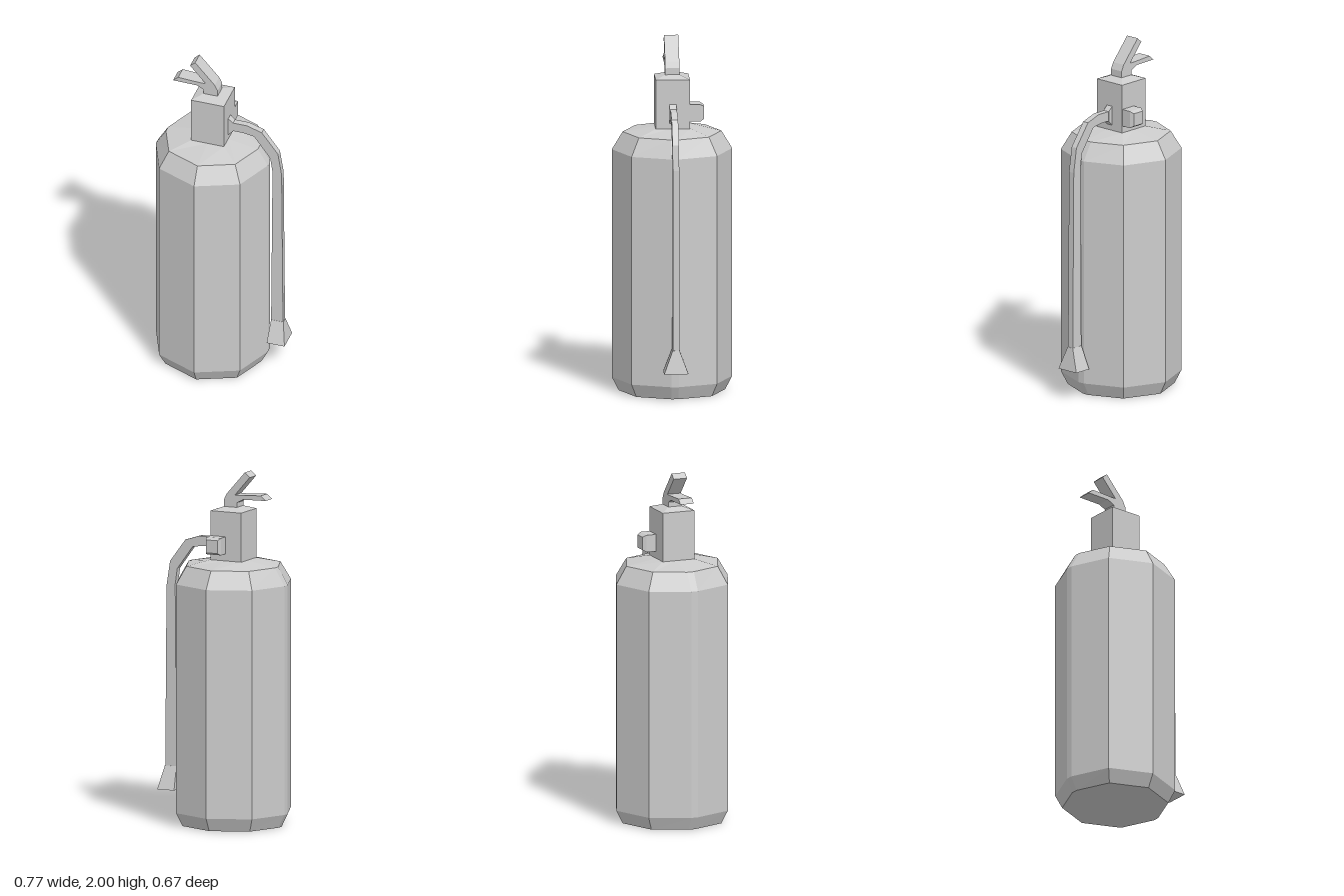
import * as THREE from 'three';

const AXIS = -0.058; // x of the tank's axis
const material = new THREE.MeshStandardMaterial({ color: 0xcccccc, flatShading: true });

// Skin a list of rings; each ring runs counter-clockwise seen from the far end
function loft(name, rings) {
  const pos = [];
  const tri = (a, b, c) => pos.push(...a, ...b, ...c);
  const n = rings[0].length;
  for (let r = 0; r < rings.length - 1; r++) {
    const lo = rings[r], hi = rings[r + 1];
    for (let i = 0; i < n; i++) {
      const j = (i + 1) % n;
      tri(lo[i], lo[j], hi[j]);
      tri(lo[i], hi[j], hi[i]);
    }
  }
  const first = rings[0], last = rings[rings.length - 1];
  for (let i = 1; i < n - 1; i++) {
    tri(first[0], first[i + 1], first[i]);
    tri(last[0], last[i], last[i + 1]);
  }
  const geometry = new THREE.BufferGeometry();
  geometry.setAttribute('position', new THREE.Float32BufferAttribute(pos, 3));
  geometry.computeVertexNormals();
  const mesh = new THREE.Mesh(geometry, material);
  mesh.name = name;
  return mesh;
}

// Horizontal rectangle around the axis
const rectXZ = (x0, x1, hz, y) => [[x1, y, hz], [x1, y, -hz], [x0, y, -hz], [x0, y, hz]];

// Octagon whose two side corners are cut by a narrow flat
function tankRing(scale, y) {
  const quarter = [[0.33, 0.02 / scale], [0.238, 0.239]];
  const right = [...quarter, [0, 0.337]];
  const left = [...quarter].reverse().map(([x, z]) => [-x, z]);
  const back = [...right, ...left];
  const front = [...back].filter(([x]) => true).reverse().map(([x, z]) => [x, -z]);
  return [...back, ...front].map(([x, z]) => [AXIS + x * scale, y, -z * scale]);
}

// The same ten points pulled onto the square foot of the neck
function neckFoot(y) {
  const h = 0.096;
  const back = [[h, 0.02], [h, h], [0, h], [-h, h], [-h, 0.02]];
  const front = [...back].reverse().map(([x, z]) => [x, -z]);
  return [...back, ...front].map(([x, z]) => [AXIS + x, y, -z]);
}

export function createModel() {
  const group = new THREE.Group();
  group.name = 'fireExtinguisher';

  // Tank with bevelled foot and shoulder
  group.add(loft('tank', [
    tankRing(0.885, 0), tankRing(1, 0.075), tankRing(1, 1.37),
    tankRing(0.82, 1.47), neckFoot(1.5),
  ]));

  // Square valve block with a sloping top
  group.add(loft('valveBlock', [
    rectXZ(-0.155, 0.038, 0.096, 1.49),
    rectXZ(-0.155, 0.038, 0.096, 1.778),
    rectXZ(-0.1, -0.018, 0.04, 1.798),
  ]));

  // Gauge block on the back, chamfered at its end
  const gaugeRing = (z, inset) => {
    const x0 = -0.058 + inset, x1 = 0.037 - inset, y0 = 1.54 + inset, y1 = 1.637 - inset;
    return [[x0, y0, z], [x0, y1, z], [x1, y1, z], [x1, y0, z]];
  };
  group.add(loft('gauge', [gaugeRing(-0.09, 0), gaugeRing(-0.153, 0), gaugeRing(-0.174, 0.012)]));

  // Squeeze lever and carrying handle in one forked profile
  const profile = [
    [-0.1, 1.79], [-0.018, 1.79], [-0.018, 1.835], [-0.035, 1.87], [-0.15, 2],
    [-0.18, 1.973], [-0.088, 1.868], [-0.12, 1.868], [-0.25, 1.875],
    [-0.28, 1.848], [-0.14, 1.845], [-0.1, 1.825],
  ];
  const shape = new THREE.Shape(profile.map(([x, y]) => new THREE.Vector2(x, y)));
  const handle = new THREE.Mesh(
    new THREE.ExtrudeGeometry(shape, { depth: 0.08, bevelEnabled: false }), material);
  handle.position.z = -0.04;
  handle.name = 'handles';
  group.add(handle);

  // Hose sections: outer x, y, inner x, y, half width
  const section = ([ox, oy, ix, iy, h]) => [[ox, oy, -h], [ox, oy, h], [ix, iy, h], [ix, iy, -h]];
  group.add(loft('hoseFitting', [
    [0.03, 1.64, 0.03, 1.53, 0.02],
    [0.038, 1.64, 0.038, 1.53, 0.02],
    [0.066, 1.615, 0.066, 1.557, 0.02],
  ].map(section)));
  group.add(loft('hose', [
    [0.06, 1.615, 0.06, 1.56, 0.018],
    [0.148, 1.615, 0.13, 1.56, 0.018],
    [0.235, 1.587, 0.19, 1.55, 0.018],
    [0.33, 1.46, 0.285, 1.42, 0.018],
    [0.352, 1.32, 0.298, 1.33, 0.018],
    [0.36, 0.3, 0.29, 0.3, 0.018],
  ].map(section)));

  // Flared nozzle
  group.add(loft('nozzle', [
    [0.362, 0.3, 0.29, 0.3, 0.019],
    [0.385, 0.17, 0.28, 0.17, 0.068],
  ].map(section)));

  return group;
}
